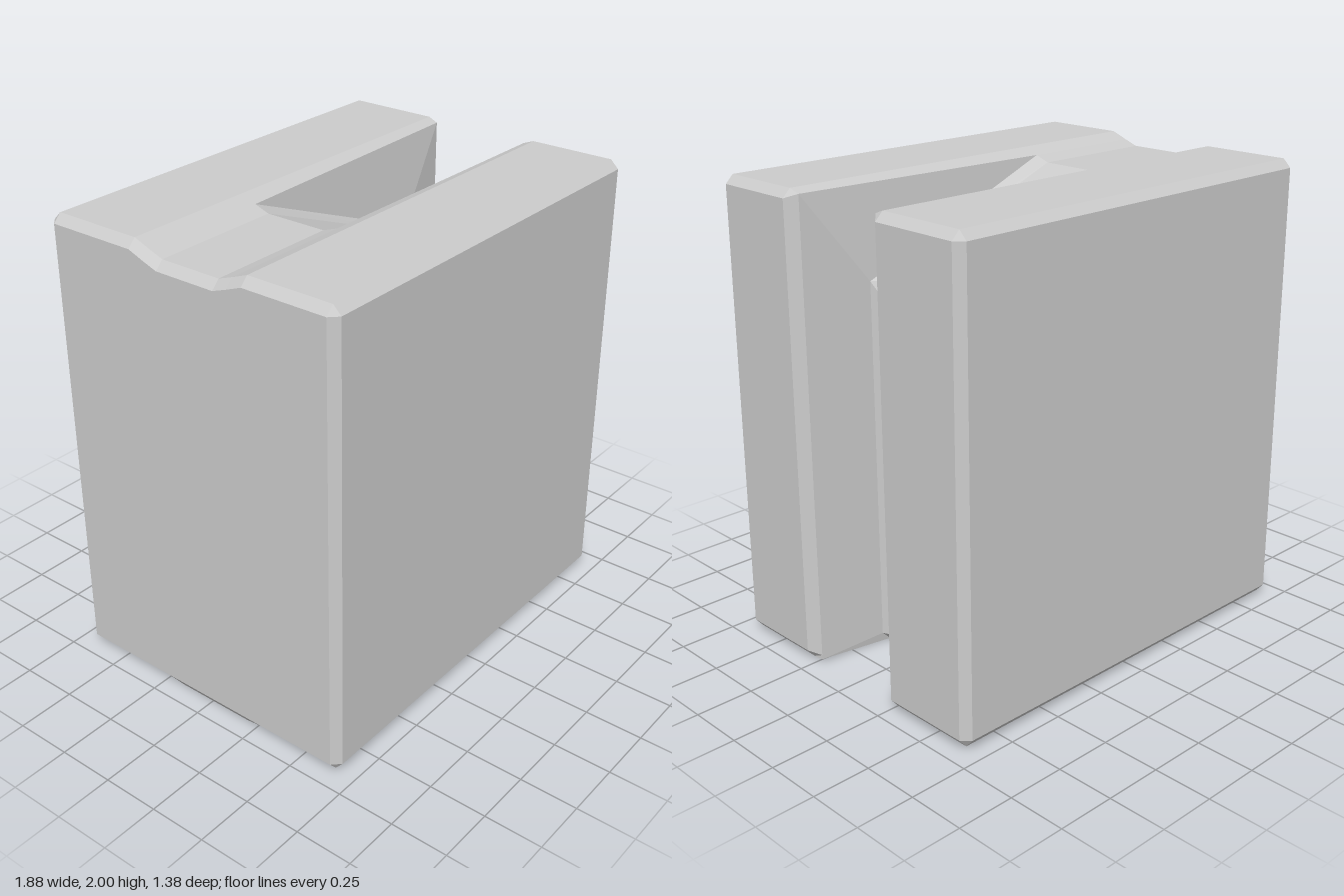
import * as THREE from 'three';

// One outline of the block in x/y, clockwise from the front, at depth z.
// top: height on the left half; rightTop / rightBottom: the corner points of the right end;
// zTop: depth of the points along the upper left edge where it differs.
function section(z, bottom, top, rightTop, rightBottom, zTop = z) {
  return [
    [-0.905, bottom, z], [-0.94, 0.05, z],
    [-0.94, top - 0.035, zTop], [-0.905, top, zTop], [-0.335, top, zTop],
    ...[...rightTop, ...rightBottom].map(([x, y]) => [x, y, z]),
  ];
}

export function createModel() {
  // Sections from the front face inward to the middle web
  const face = [[-0.905, 0.05], [-0.905, 0.05], [-0.905, 1.965], [-0.905, 1.965], [-0.335, 1.965],
    [0.905, 1.965], [0.905, 1.965], [0.905, 0.05], [0.905, 0.05]].map(([x, y]) => [x, y, 0.69]);
  const slabTop = [[0.905, 2], [0.94, 1.965]];
  const slabBottom = [[0.94, 0.05], [0.905, 0.01]];
  const half = [
    face,
    section(0.655, 0.01, 2, slabTop, slabBottom),
    section(0.28, 0.01, 2, slabTop, slabBottom),
    // mouth of the slot
    section(0.235, 0.005, 1.973, [[0.9, 1.983], [0.9, 1.983]], [[0.9, 0.03], [0.9, 0.01]], 0.21),
    // foot of the tapered slot walls
    section(0.19, 0, 1.973, [[0.61, 1.6], [0.61, 1.6]], [[0.61, 0.04], [0.57, 0]], 0.21),
    // web with its sloping top
    section(0.145, 0, 1.95, [[0.55, 1.6], [0.59, 1.54]], [[0.59, 0.04], [0.55, 0]]),
  ];
  // Mirrored rear half; the slot sits slightly forward of centre
  const rear = half.map((s) => s.map(([x, y, z]) => [x, y, z > 0.5 ? -z - 0.005 : 0.017 - z])).reverse();
  const sections = [...half, ...rear];

  // Skin between the sections
  const n = face.length;
  const index = [];
  for (let s = 0; s < sections.length - 1; s++) {
    for (let i = 0; i < n; i++) {
      const a = s * n + i, b = s * n + (i + 1) % n;
      index.push(a, b, a + n, b, b + n, a + n);
    }
  }
  // Flat front and rear faces
  const last = (sections.length - 1) * n;
  for (let i = 1; i < n - 1; i++) index.push(0, i + 1, i, last, last + i, last + i + 1);

  const indexed = new THREE.BufferGeometry();
  indexed.setAttribute('position', new THREE.Float32BufferAttribute(sections.flat(2), 3));
  indexed.setIndex(index);
  const geometry = indexed.toNonIndexed();
  geometry.computeVertexNormals();

  const block = new THREE.Mesh(geometry, new THREE.MeshStandardMaterial({ color: 0xcccccc, flatShading: true }));
  block.name = 'slottedBlock';
  const group = new THREE.Group();
  group.name = 'slottedBlockModel';
  group.add(block);
  return group;
}
